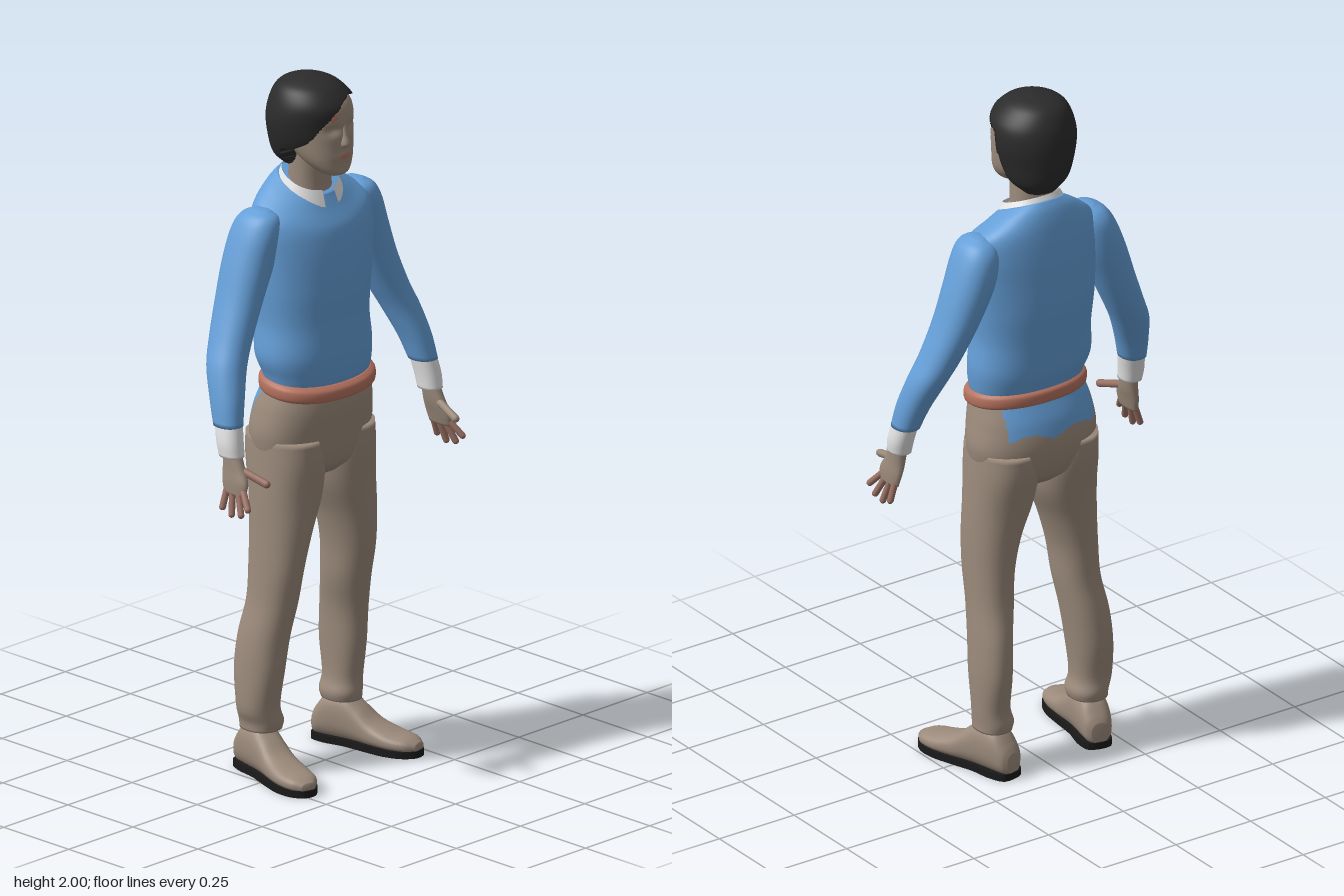
import * as THREE from 'three';

const mat = (name, color, side = THREE.FrontSide) => {
  const m = new THREE.MeshStandardMaterial({ color, side });
  m.name = name;
  return m;
};

// Smooth closed skin through elliptical rings [height, cx, cz, rx, rz], listed upward.
// gap leaves an open slot at the front; exp squares the section off.
function loft(rings, { seg = 40, steps = 48, exp = 2.2, gap = 0, caps = true, rule } = {}) {
  const curve = (f) => new THREE.CatmullRomCurve3(rings.map(f), false, 'catmullrom', 0.5);
  const centre = curve((r) => new THREE.Vector3(r[1], r[0], r[2]));
  const radius = curve((r) => new THREE.Vector3(r[3], 0, r[4]));
  const rows = [];
  for (let i = 0; i <= steps; i++) rows.push([centre.getPoint(i / steps), radius.getPoint(i / steps)]);
  if (caps) {
    const zero = new THREE.Vector3();
    rows.unshift([rows[0][0], zero]);
    rows.push([rows[rows.length - 1][0], zero]);
  }
  const pos = [], idx = [], n = gap ? seg + 1 : seg;
  const round = (v) => Math.sign(v) * Math.abs(v) ** (2 / exp);
  for (const [c, r] of rows) {
    for (let j = 0; j < n; j++) {
      const a = gap + (j / seg) * (Math.PI * 2 - 2 * gap);
      const p = new THREE.Vector3(c.x + r.x * round(Math.sin(a)), c.y, c.z + r.z * round(Math.cos(a)));
      if (rule) rule(p);
      pos.push(p.x, p.y, p.z);
    }
  }
  for (let i = 0; i < rows.length - 1; i++) {
    for (let j = 0; j < seg; j++) {
      const k = (j + 1) % n, a = i * n + j, b = i * n + k;
      idx.push(a, b, b + n, a, b + n, a + n);
    }
  }
  const g = new THREE.BufferGeometry();
  g.setAttribute('position', new THREE.Float32BufferAttribute(pos, 3));
  g.setIndex(idx);
  g.computeVertexNormals();
  return g;
}

// Sorts triangles into two material groups by their centre point.
function paint(g, inside) {
  const sets = [[], []], p = g.attributes.position, idx = g.index.array;
  for (let i = 0; i < idx.length; i += 3) {
    const tri = [idx[i], idx[i + 1], idx[i + 2]], c = new THREE.Vector3();
    for (const t of tri) c.add(new THREE.Vector3().fromBufferAttribute(p, t));
    sets[inside(c.divideScalar(3)) ? 1 : 0].push(...tri);
  }
  g.setIndex([...sets[0], ...sets[1]]);
  g.addGroup(0, sets[0].length, 0);
  g.addGroup(sets[0].length, sets[1].length, 1);
  return g;
}

export function createModel() {
  const model = new THREE.Group();
  const tan = mat('tan', 0x9c8b7c), blue = mat('sweater blue', 0x659fd8);
  const white = mat('shirt white', 0xe4e4e4, THREE.DoubleSide), dark = mat('hair black', 0x2b2b2b);
  const rust = mat('belt rust', 0xb5725f), ruddy = mat('ruddy skin', 0x9a7164), black = mat('sole black', 0x1a1a1a);
  const add = (name, geo, material, parent = model) => {
    const m = new THREE.Mesh(geo, material);
    m.name = name;
    parent.add(m);
    return m;
  };
  const bump = (x, y, sx, sy) => Math.exp(-((x / sx) ** 2) - (y / sy) ** 2);

  // Sweater body, with the neckline falling toward the front
  add('sweater', loft([
    [1.115, -0.005, -0.03, 0.163, 0.105], [1.15, -0.006, -0.03, 0.172, 0.116],
    [1.21, -0.012, -0.035, 0.183, 0.126], [1.3, -0.012, -0.042, 0.176, 0.13],
    [1.4, -0.01, -0.047, 0.185, 0.136], [1.5, -0.005, -0.05, 0.195, 0.131],
    [1.57, -0.002, -0.055, 0.2, 0.121], [1.62, 0, -0.058, 0.188, 0.108],
    [1.66, -0.004, -0.06, 0.135, 0.092], [1.69, -0.006, -0.06, 0.085, 0.075],
  ], { seg: 56, steps: 70, rule: (p) => {
    p.y -= 0.4 * (p.z + 0.06) * THREE.MathUtils.smoothstep(p.y, 1.55, 1.69);
    if (p.y < 1.2) p.y -= 0.1 * p.z * (1.2 - p.y) / 0.08;
  } }), blue);

  // Belt, lower at the front
  add('belt', loft([
    [1.09, -0.006, -0.028, 0.17, 0.114], [1.1, -0.006, -0.026, 0.18, 0.126],
    [1.125, -0.006, -0.026, 0.18, 0.126], [1.137, -0.006, -0.028, 0.168, 0.112],
  ], { steps: 14, rule: (p) => { p.y -= 0.11 * p.z; } }), rust);

  // Hips, with the sweater tail showing at the back
  add('hips', paint(loft([
    [0.85, -0.01, -0.045, 0.1, 0.07], [0.89, -0.01, -0.047, 0.17, 0.108],
    [0.97, -0.008, -0.05, 0.194, 0.127], [1.05, -0.008, -0.041, 0.185, 0.128],
    [1.12, -0.005, -0.03, 0.168, 0.112],
  ], { seg: 72 }), (c) => c.z < -0.06 && c.y > 1.01 + 0.02 * Math.abs(Math.sin(c.x * 22)) && c.x > -0.17 && c.x < 0.13),
  [tan, blue]);

  // Trouser legs: [height, cx, cz, rx, rz]
  const legs = {
    left: [
      [0.13, 0.143, -0.08, 0.05, 0.06], [0.155, 0.141, -0.08, 0.052, 0.064], [0.2, 0.148, -0.08, 0.048, 0.061],
      [0.3, 0.149, -0.08, 0.05, 0.075], [0.4, 0.145, -0.072, 0.051, 0.077], [0.5, 0.133, -0.053, 0.058, 0.077],
      [0.6, 0.128, -0.04, 0.063, 0.085], [0.7, 0.117, -0.038, 0.074, 0.093], [0.8, 0.098, -0.042, 0.09, 0.103],
      [0.9, 0.09, -0.048, 0.094, 0.118], [0.97, 0.09, -0.05, 0.09, 0.118],
    ],
    right: [
      [0.13, -0.185, -0.065, 0.053, 0.06], [0.155, -0.184, -0.065, 0.056, 0.064], [0.2, -0.196, -0.065, 0.057, 0.061],
      [0.3, -0.19, -0.066, 0.06, 0.075], [0.4, -0.178, -0.06, 0.062, 0.077], [0.5, -0.161, -0.045, 0.061, 0.077],
      [0.6, -0.152, -0.038, 0.063, 0.085], [0.7, -0.135, -0.038, 0.075, 0.093], [0.8, -0.113, -0.042, 0.093, 0.103],
      [0.9, -0.107, -0.048, 0.094, 0.118], [0.97, -0.107, -0.05, 0.09, 0.118],
    ],
  };

  // Shoe upper, lofted heel to toe then laid flat; sole outline follows it
  const upper = [
    [-0.085, 0, -0.045, 0.025, 0.03], [-0.07, 0, -0.055, 0.04, 0.045], [-0.035, 0, -0.074, 0.046, 0.066],
    [0.02, 0, -0.077, 0.047, 0.069], [0.065, 0, -0.062, 0.048, 0.054], [0.11, 0, -0.045, 0.052, 0.037],
    [0.17, 0, -0.035, 0.055, 0.026], [0.22, 0, -0.031, 0.045, 0.021], [0.25, 0, -0.026, 0.02, 0.013],
  ];
  const shoeGeo = loft(upper, { exp: 2.4 }).rotateX(Math.PI / 2);
  const side = [[0.032, -0.082], [0.046, -0.04], [0.044, 0.03], [0.052, 0.1], [0.057, 0.17], [0.046, 0.22], [0.018, 0.252]];
  const outline = [...side, ...side.map(([x, z]) => [-x, z]).reverse()].map(([x, z]) => new THREE.Vector2(x, z));
  const soleShape = new THREE.Shape(new THREE.CatmullRomCurve3(
    outline.map((p) => new THREE.Vector3(p.x, p.y, 0)), true).getPoints(60).slice(0, -1).map((p) => new THREE.Vector2(p.x, p.y)));
  const soleGeo = new THREE.ExtrudeGeometry(soleShape, { depth: 0.02, bevelEnabled: false })
    .rotateX(Math.PI / 2).translate(0, 0.02, 0);

  for (const [name, s] of [['left', 1], ['right', -1]]) {
    add(name + 'TrouserLeg', loft(legs[name]), tan);
    const shoe = new THREE.Group();
    shoe.name = name + 'Shoe';
    shoe.position.set(s > 0 ? 0.147 : -0.188, 0, s > 0 ? -0.08 : -0.068);
    shoe.rotation.y = s * 0.22;
    add('shoeUpper', shoeGeo, tan, shoe);
    add('shoeSole', soleGeo, black, shoe);
    model.add(shoe);

    // Sleeve, cuff and palm share the slope of the arm
    const arm = (rings) => rings.map(([y, c, cz, rx, rz]) => [y, s * c - 0.014 * (1.64 - y), cz, rx, rz]);
    add(name + 'Sleeve', loft(arm([
      [1.08, 0.379, 0.008, 0.037, 0.043], [1.15, 0.364, -0.012, 0.044, 0.05], [1.23, 0.338, -0.04, 0.052, 0.057],
      [1.3, 0.305, -0.057, 0.055, 0.062], [1.4, 0.26, -0.07, 0.06, 0.069], [1.5, 0.22, -0.075, 0.066, 0.075],
      [1.58, 0.195, -0.072, 0.06, 0.074], [1.62, 0.186, -0.068, 0.044, 0.058], [1.638, 0.182, -0.066, 0.015, 0.025],
    ])), blue);
    add(name + 'Cuff', loft(arm([
      [0.998, 0.386, 0.03, 0.031, 0.037], [1.04, 0.385, 0.021, 0.034, 0.039], [1.1, 0.376, 0.006, 0.034, 0.04],
    ]), { steps: 12 }), white);
    const hand = new THREE.Group();
    hand.name = name + 'Hand';
    hand.position.x = -0.008;
    model.add(hand);
    add('palm', loft([
      [0.895, s * 0.4, 0.055, 0.012, 0.04], [0.93, s * 0.396, 0.052, 0.017, 0.046],
      [0.965, s * 0.39, 0.042, 0.02, 0.038], [1.01, s * 0.386, 0.03, 0.022, 0.027],
    ], { seg: 24, steps: 16 }), tan, hand);
    const finger = (label, a, b, r, m) => {
      const from = new THREE.Vector3(s * a[0], a[1], a[2]), to = new THREE.Vector3(s * b[0], b[1], b[2]);
      const dir = to.clone().sub(from);
      const f = add(label, new THREE.CapsuleGeometry(r, dir.length(), 4, 10), m, hand);
      f.position.copy(from).add(to).multiplyScalar(0.5);
      f.quaternion.setFromUnitVectors(new THREE.Vector3(0, 1, 0), dir.normalize());
    };
    [[0.087, 0.122, 0.87], [0.067, 0.096, 0.848], [0.046, 0.06, 0.842], [0.026, 0.025, 0.855]].forEach(([z0, z1, y], i) =>
      finger('finger' + (i + 1), [0.4, 0.91, z0], [0.418, y, z1], 0.0095, ruddy));
    finger('thumb', [0.386, 0.965, 0.06], [0.368, 0.938, 0.145], 0.011, s > 0 ? tan : ruddy);
  }

  // Neck and open-fronted collar
  add('neck', loft([[1.6, -0.008, -0.05, 0.066, 0.062], [1.68, -0.01, -0.05, 0.06, 0.056], [1.8, -0.012, -0.045, 0.06, 0.056]]), tan);
  add('collar', loft([
    [1.64, -0.006, -0.05, 0.108, 0.092], [1.675, -0.006, -0.052, 0.096, 0.082], [1.705, -0.008, -0.052, 0.08, 0.07],
  ], { gap: 0.22, caps: false, steps: 12, rule: (p) => { p.y -= 0.42 * (p.z + 0.06); } }), white);

  // Head with soft eye sockets, and a faint flush on lips and brow
  add('head', paint(loft([
    [1.722, -0.01, 0.045, 0.015, 0.014], [1.735, -0.01, 0.038, 0.042, 0.043], [1.77, -0.01, 0.01, 0.069, 0.075],
    [1.82, -0.012, -0.02, 0.083, 0.108], [1.88, -0.014, -0.025, 0.088, 0.115], [1.93, -0.016, -0.03, 0.086, 0.112],
    [1.965, -0.018, -0.03, 0.064, 0.08], [1.985, -0.02, -0.03, 0.025, 0.035],
  ], { seg: 64, steps: 70, rule: (p) => {
    if (p.z < 0.02) return;
    for (const e of [-0.045, 0.021]) p.z -= 0.012 * bump(p.x - e, p.y - 1.866, 0.022, 0.014);
    p.z += 0.005 * bump(p.x + 0.012, p.y - 1.787, 0.025, 0.012);
  } }), (c) => c.z > 0.05 && (bump(c.x + 0.012, c.y - 1.787, 0.02, 0.007) > 0.4 || bump(c.x + 0.055, c.y - 1.905, 0.018, 0.014) > 0.4)),
  [tan, rust]);
  add('nose', loft([
    [1.81, -0.012, 0.08, 0.009, 0.01], [1.822, -0.012, 0.084, 0.016, 0.02], [1.85, -0.012, 0.083, 0.01, 0.012], [1.88, -0.012, 0.08, 0.007, 0.008],
  ], { seg: 20, steps: 16, exp: 2 }), tan);

  // Hair: a full cap, tucked into the head wherever the face is clear
  add('hair', loft([
    [1.735, -0.015, -0.085, 0.05, 0.04], [1.77, -0.02, -0.062, 0.088, 0.085], [1.82, -0.024, -0.04, 0.109, 0.116],
    [1.88, -0.025, -0.035, 0.12, 0.123], [1.93, -0.025, -0.028, 0.114, 0.121], [1.97, -0.03, -0.032, 0.088, 0.095],
    [1.99, -0.03, -0.035, 0.055, 0.06], [2.0, -0.03, -0.035, 0.01, 0.01],
  ], { seg: 96, steps: 90, exp: 2, rule: (p) => {
    const sideline = -0.02 + 0.28 * Math.min(0, p.y - 1.88);
    const hairline = 1.95 - 7 * (p.x - 0.02) ** 2;
    if (p.z > sideline && p.y < hairline) {
      p.x = -0.016 + (p.x + 0.016) * 0.55;
      p.z = -0.03 + (p.z + 0.03) * 0.55;
    }
  } }), dark);

  return model;
}
